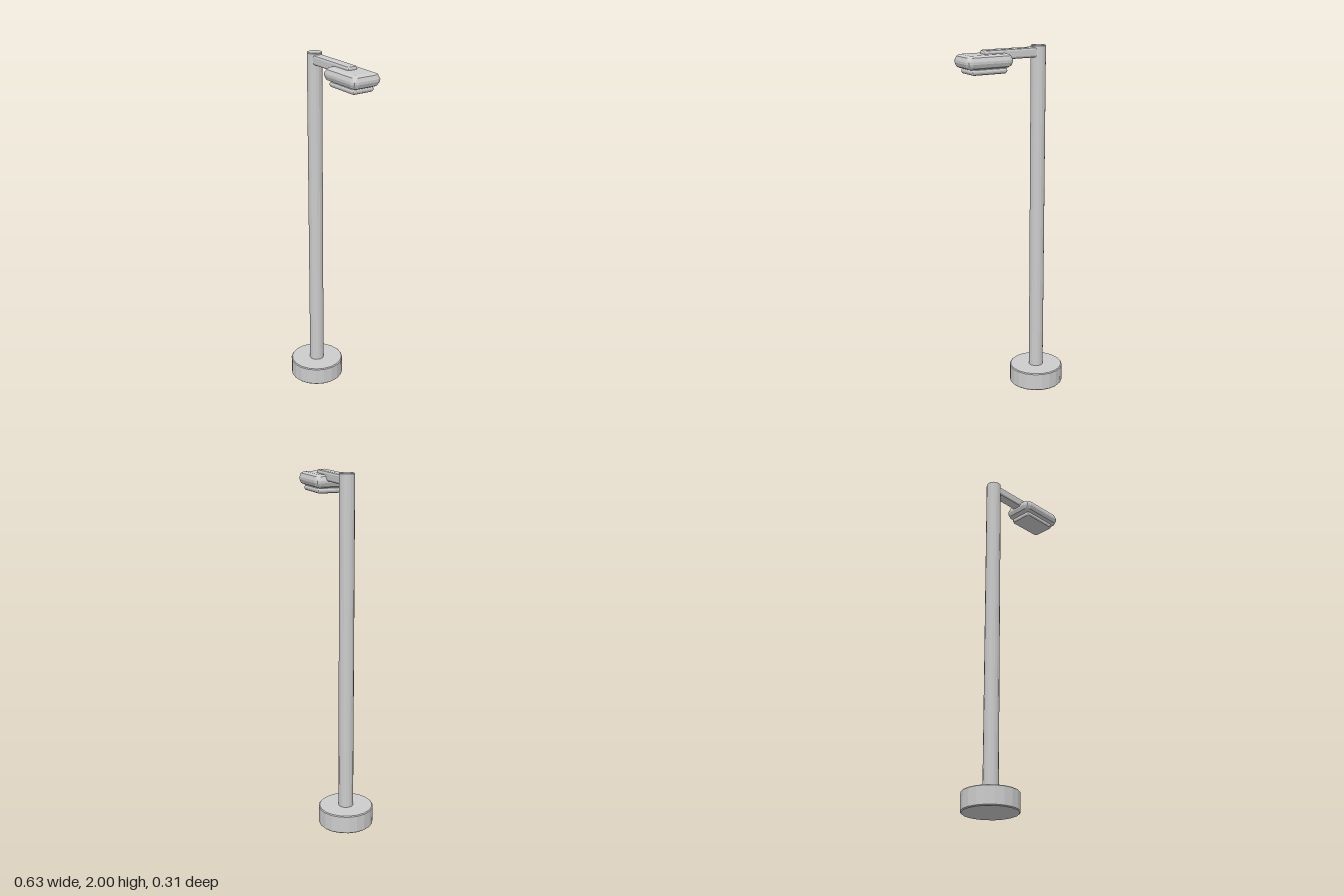
import * as THREE from 'three';
import { ConvexGeometry } from 'three/addons/geometries/ConvexGeometry.js';

// Box with two-step bevelled edges, given by its min and max corners
function bevelBox(min, max, r) {
  const c = min.map((v, i) => (v + max[i]) / 2);
  const h = min.map((v, i) => (max[i] - v) / 2 - r);
  const d = Math.SQRT1_2;
  const dirs = [[1, 0, 0], [0, 1, 0], [0, 0, 1], [d, d, 0], [d, 0, d], [0, d, d]];
  const points = [];
  for (const sx of [-1, 1]) for (const sy of [-1, 1]) for (const sz of [-1, 1]) {
    for (const n of dirs) {
      points.push(new THREE.Vector3(sx * (h[0] + n[0] * r), sy * (h[1] + n[1] * r), sz * (h[2] + n[2] * r)));
    }
  }
  return new ConvexGeometry(points).translate(...c);
}

// Faceted upright cylinder with chamfered rims
function bevelCylinder(radius, y0, y1, sides, b) {
  const profile = [[0, y0], [radius - b, y0], [radius, y0 + b], [radius, y1 - b], [radius - b, y1], [0, y1]];
  const geo = new THREE.LatheGeometry(profile.map(([x, y]) => new THREE.Vector2(x, y)), sides).toNonIndexed();
  geo.computeVertexNormals();
  return geo;
}

export function createModel() {
  const model = new THREE.Group();
  model.name = 'streetLamp';
  const grey = new THREE.MeshStandardMaterial({ color: 0xcccccc, flatShading: true });
  grey.name = 'light grey';

  const add = (name, geometry, x = 0) => {
    const mesh = new THREE.Mesh(geometry, grey);
    mesh.name = name;
    mesh.position.x = x;
    model.add(mesh);
  };

  // Footing and pole share one off-centre axis
  const poleX = -0.162;
  add('base', bevelCylinder(0.156, 0, 0.107, 20, 0.005), poleX);
  add('pole', bevelCylinder(0.042, 0.1, 2, 16, 0.004), poleX);

  // Arm reaching over the lamp head, with the lens plate below
  add('arm', bevelBox([-0.17, 1.935, -0.03], [0.187, 1.99, 0.03], 0.012));
  add('lampHead', bevelBox([0.037, 1.897, -0.09], [0.317, 1.97, 0.09], 0.03));
  add('lens', bevelBox([0.067, 1.867, -0.068], [0.281, 1.899, 0.068], 0.013));

  return model;
}
